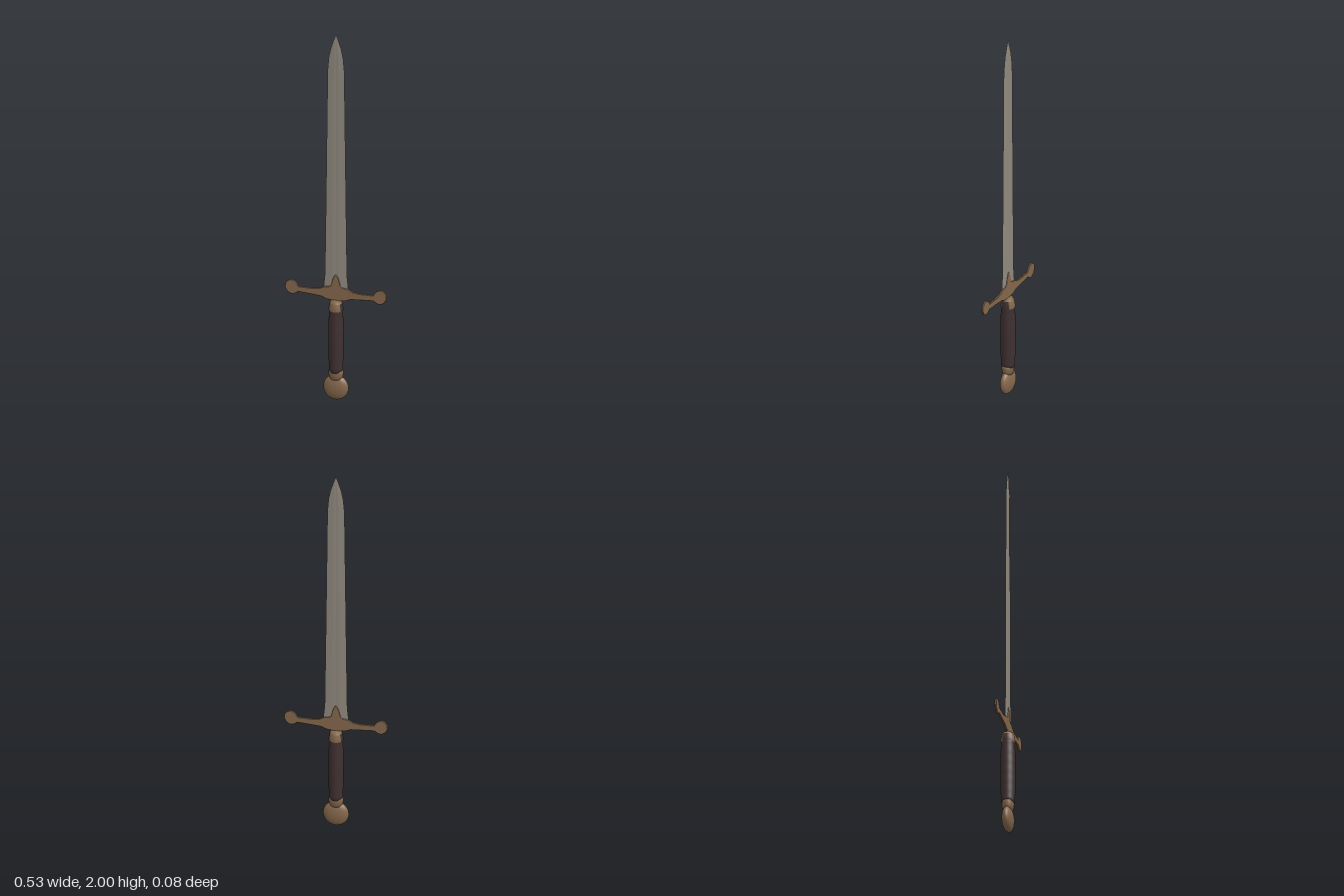
import * as THREE from 'three';

const steel = new THREE.MeshStandardMaterial({ color: 0x8f887d });
const bronze = new THREE.MeshStandardMaterial({ color: 0x83664b });
const leather = new THREE.MeshStandardMaterial({ color: 0x3f3030 });
steel.name = 'steel';
bronze.name = 'bronze';
leather.name = 'leather';

function part(name, geometry, material) {
  const mesh = new THREE.Mesh(geometry, material);
  mesh.name = name;
  return mesh;
}

// Blade: fullered cross-sections [y, half width], lofted to the tip
function bladeGeometry() {
  const sections = [[0.58, 0.07], [0.62, 0.064], [0.68, 0.058], [0.9, 0.055], [1.3, 0.05],
    [1.8, 0.044], [1.87, 0.038], [1.92, 0.028], [1.97, 0.012], [2.0, 0.001]];
  const ring = [[1, 0], [0.3, 1], [0, 0.8], [-0.3, 1], [-1, 0], [-0.3, -1], [0, -0.8], [0.3, -1]];
  const n = ring.length, pos = [], idx = [];
  sections.forEach(([y, w], i) => {
    const t = Math.min(0.0035, w * 0.12);
    for (const [x, z] of ring) pos.push(x * w, y, z * t);
    if (!i) return;
    for (let j = 0; j < n; j++) {
      const a = (i - 1) * n + j, b = (i - 1) * n + (j + 1) % n;
      idx.push(a, a + n, b, b, a + n, b + n);
    }
  });
  const indexed = new THREE.BufferGeometry();
  indexed.setAttribute('position', new THREE.Float32BufferAttribute(pos, 3));
  indexed.setIndex(idx);
  const g = indexed.toNonIndexed();
  g.computeVertexNormals();
  return g;
}

// Crossguard: flat mirrored outline with round ends and a central langet
function guardGeometry() {
  const half = [[0, 0.686], [0.01, 0.675], [0.019, 0.65], [0.024, 0.625], [0.034, 0.616],
    [0.062, 0.612], [0.085, 0.599], [0.12, 0.594], [0.195, 0.595], [0.204, 0.61], [0.218, 0.623],
    [0.236, 0.628], [0.254, 0.62], [0.266, 0.603], [0.267, 0.583], [0.256, 0.562], [0.238, 0.55],
    [0.22, 0.55], [0.207, 0.558], [0.198, 0.565], [0.12, 0.56], [0.075, 0.556], [0.05, 0.545],
    [0, 0.54]];
  const outline = [...half, ...half.slice(1, -1).reverse().map(([x, y]) => [-x, y])];
  const shape = new THREE.Shape(outline.map(([x, y]) => new THREE.Vector2(x, y)));
  const g = new THREE.ExtrudeGeometry(shape, {
    depth: 0.006, bevelEnabled: true, bevelThickness: 0.002, bevelSize: 0.002,
    bevelOffset: -0.002, bevelSegments: 1,
  });
  return g.translate(0, 0, -0.003);
}

function lathe(points, segments = 32, start = 0, sweep = Math.PI * 2) {
  return new THREE.LatheGeometry(points.map(([r, y]) => new THREE.Vector2(r, y)), segments, start, sweep);
}

export function createModel() {
  const sword = new THREE.Group();
  sword.name = 'sword';
  sword.add(part('blade', bladeGeometry(), steel));
  sword.add(part('crossguard', guardGeometry(), bronze));

  // Leather grip, with shallow wrapped ridges
  const profile = [[0, 0.145], [0.028, 0.145]];
  for (let i = 0; i <= 24; i++) {
    const t = i / 24;
    profile.push([0.0355 + 0.002 * Math.sin(t * Math.PI) + (i % 4 === 0 ? 0.0007 : 0), 0.165 + t * 0.325]);
  }
  profile.push([0.034, 0.495]);
  sword.add(part('grip', lathe(profile), leather));

  // Collar: bronze at front and back, with the leather running up both sides
  const collar = [[0.0355, 0.488], [0.037, 0.494], [0.036, 0.51], [0.031, 0.53]];
  const spread = 0.95;
  for (const turn of [0, Math.PI]) {
    sword.add(part('collarPlate', lathe(collar, 12, turn - spread, spread * 2), bronze));
    sword.add(part('gripSide', lathe(collar, 10, turn + spread, Math.PI - spread * 2), leather));
  }
  sword.add(part('collarCap', lathe([[0.031, 0.53], [0.025, 0.542], [0, 0.545]]), bronze));

  // Pommel: flattened ball with a short neck
  const ball = new THREE.SphereGeometry(1, 32, 20);
  ball.scale(0.066, 0.067, 0.029).translate(0, 0.067, 0);
  sword.add(part('pommel', ball, bronze));
  const neck = lathe([[0, 0.1], [0.03, 0.112], [0.036, 0.13], [0.039, 0.15], [0.037, 0.162], [0.03, 0.165]]);
  neck.scale(1, 1, 0.8);
  sword.add(part('pommelNeck', neck, bronze));
  return sword;
}
